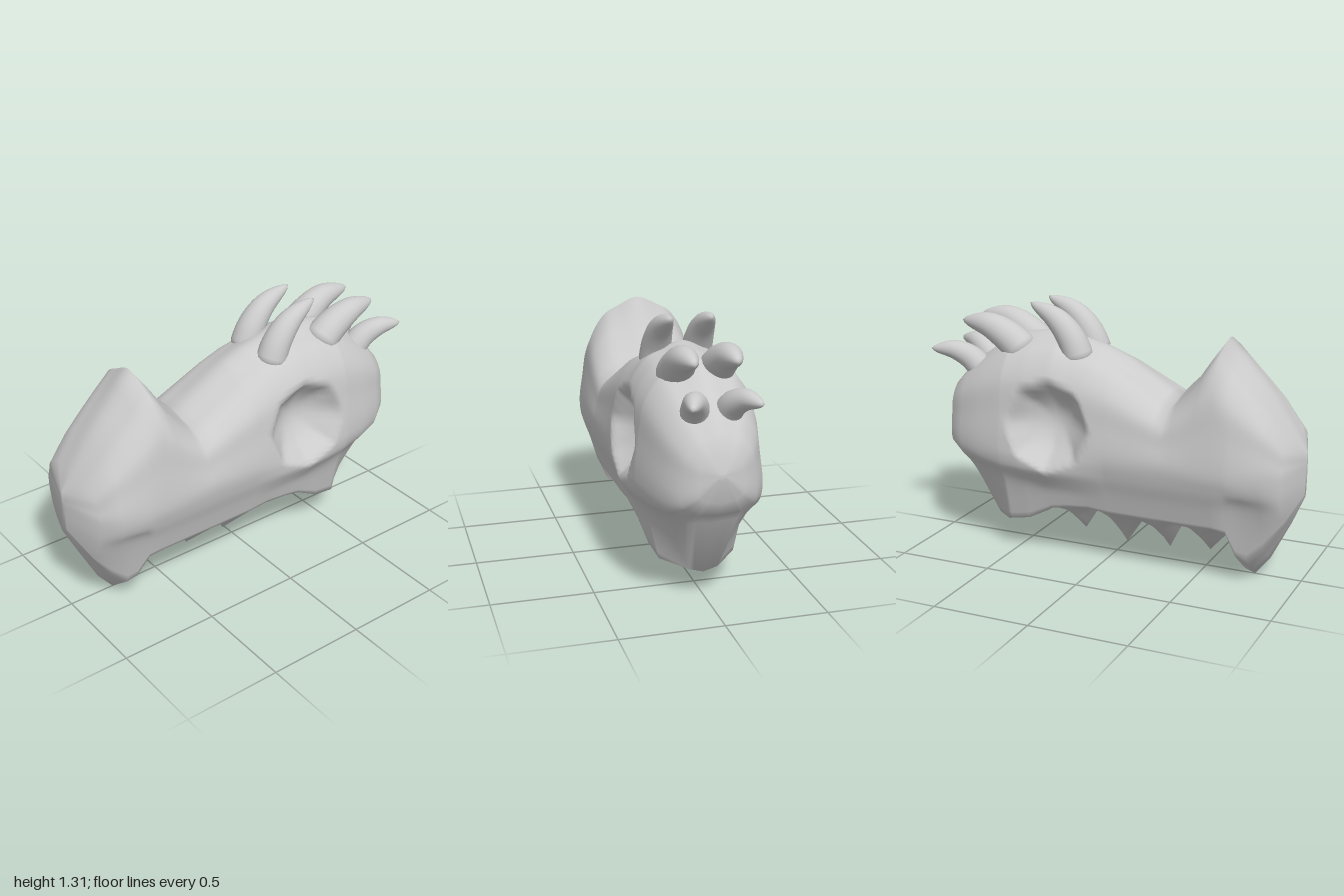
import * as THREE from 'three';
import { mergeVertices } from 'three/addons/utils/BufferGeometryUtils.js';

const material = new THREE.MeshStandardMaterial({ color: 0xcccccc });

// Slices along x: [x, top, lower side edge, bottom centre, half width, lower edge / half width]
const SLICES = [
  [-1, 0.68, 0.46, 0.44, 0.02, 0.7], [-0.94, 0.78, 0.34, 0.3, 0.24, 0.6],
  [-0.84, 0.93, 0.2, 0.1, 0.275, 0.5], [-0.76, 1.02, 0.12, 0, 0.295, 0.5],
  [-0.705, 1.08, 0.14, 0.02, 0.305, 0.52], [-0.67, 1.12, 0.28, 0.25, 0.308, 0.72],
  [-0.6, 1.2, 0.29, 0.18, 0.308, 0.74], [-0.52, 1.09, 0.29, 0.09, 0.308, 0.74],
  [-0.46, 1.0, 0.29, 0.17, 0.308, 0.74], [-0.4, 0.94, 0.29, 0.26, 0.308, 0.74],
  [-0.35, 0.88, 0.29, 0.17, 0.308, 0.74], [-0.3, 0.91, 0.29, 0.07, 0.308, 0.74],
  [-0.19, 0.975, 0.29, 0.27, 0.308, 0.74], [-0.06, 1.05, 0.29, 0.06, 0.306, 0.74],
  [0.06, 1.1, 0.3, 0.29, 0.306, 0.74], [0.18, 1.13, 0.29, 0.1, 0.306, 0.74],
  [0.27, 1.16, 0.27, 0.25, 0.308, 0.72], [0.41, 1.15, 0.19, 0.16, 0.31, 0.66],
  [0.54, 1.13, 0.16, 0.14, 0.302, 0.62], [0.66, 1.06, 0.14, 0.12, 0.28, 0.25],
  [0.79, 0.97, 0.43, 0.42, 0.24, 0.5], [0.88, 0.88, 0.5, 0.49, 0.18, 0.55],
  [0.915, 0.79, 0.57, 0.56, 0.11, 0.6], [0.935, 0.71, 0.68, 0.67, 0.02, 0.7],
];

// Half outline above the widest line: [fraction of half width, fraction of drop]
const OUTLINE = [[0.34, 0.07], [0.62, 0.16], [0.86, 0.38], [0.94, 0.68]];

// One closed ring: rounded roof, tapering lower side, V-shaped underside
function ring([x, top, edge, bottom, w, tuck]) {
  const widest = Math.max(0.6, edge + 0.25 * (top - edge));
  const half = OUTLINE.map(([fz, fy]) => new THREE.Vector2(fz * w, top - fy * (top - widest)));
  half.push(
    new THREE.Vector2(w, widest),
    new THREE.Vector2(0.95 * w, Math.max(0.5, edge + 0.5 * (widest - edge))),
    new THREE.Vector2((0.62 + 0.3 * tuck) * w, Math.max(0.4, edge + 0.25 * (widest - edge))),
    new THREE.Vector2(tuck * w, edge),
  );
  const arch = new THREE.SplineCurve([
    ...half.slice().reverse(), new THREE.Vector2(0, top),
    ...half.map((p) => new THREE.Vector2(-p.x, p.y)),
  ]).getPoints(80);
  const keel = new THREE.Vector2(0, bottom);
  const first = arch[0], last = arch[80];
  for (let k = 1; k <= 3; k++) arch.push(last.clone().lerp(keel, k / 3));
  for (let k = 1; k < 3; k++) arch.push(keel.clone().lerp(first, k / 3));
  return arch.map((p) => [x, p.y, p.x]);
}

// Eye sockets: eight-sided bowls pressed into the sides, above a slightly flared cheekbone
function pressSocket([x, y, z]) {
  if (Math.abs(z) < 0.18) return [x, y, z];
  const u = (x - 0.263) / 0.235, v = (y - 0.72) / 0.23;
  let d = 0;
  for (let k = 0; k < 8; k++) {
    const a = ((k + 0.5) * Math.PI) / 4;
    d = Math.max(d, (u * Math.cos(a) + v * Math.sin(a)) / Math.cos(Math.PI / 8));
  }
  const bowl = 0.14 * Math.max(0, 1 - d ** 2);
  const flare = 0.03 * Math.max(0, 1 - Math.abs(x - 0.28) / 0.34) * Math.max(0, 1 - Math.abs(y - 0.49) / 0.11);
  return [x, y, z + Math.sign(z) * (flare - bowl)];
}

function skullGeometry() {
  const rings = [];
  SLICES.forEach((slice, i) => {
    if (i === 0) return rings.push(ring(slice));
    // Extra slices only around the sockets
    const prev = SLICES[i - 1];
    const nearSocket = prev[0] > -0.1 && prev[0] < 0.5;
    const steps = nearSocket ? Math.round((slice[0] - prev[0]) / 0.02) : 1;
    for (let s = 1; s <= steps; s++) {
      rings.push(ring(slice.map((v, k) => prev[k] + ((v - prev[k]) * s) / steps)));
    }
  });
  const n = rings[0].length, last = rings.length - 1;
  const positions = rings.flat().map(pressSocket).flat();
  const index = [];
  for (let i = 0; i < last; i++) {
    for (let j = 0; j < n; j++) {
      const a = i * n + j, b = i * n + ((j + 1) % n);
      index.push(a, a + n, b, b, a + n, b + n);
    }
  }
  // End caps
  const front = positions.length / 3, back = front + 1;
  positions.push(-1, 0.57, 0, 0.935, 0.69, 0);
  for (let j = 0; j < n; j++) {
    const k = (j + 1) % n;
    index.push(front, j, k, back, last * n + k, last * n + j);
  }
  const g = new THREE.BufferGeometry();
  g.setAttribute('position', new THREE.Float32BufferAttribute(positions, 3));
  g.setIndex(index);
  g.computeVertexNormals();
  return g;
}

// Curved horn: a tube with a rounded base that tapers to a blunt tip
function hornGeometry(points, radius) {
  const curve = new THREE.CatmullRomCurve3(points.map((p) => new THREE.Vector3(...p)));
  const segs = 28, sides = 18;
  const tube = new THREE.TubeGeometry(curve, segs, radius, sides, false);
  const pos = tube.attributes.position, v = new THREE.Vector3();
  for (let i = 0; i <= segs; i++) {
    const t = i / segs, c = curve.getPointAt(t);
    const base = Math.sqrt(Math.min(1, t / 0.15 + 0.3));
    const r = base * Math.pow(1 - t ** 2, 0.65);
    for (let j = 0; j <= sides; j++) {
      const k = i * (sides + 1) + j;
      v.fromBufferAttribute(pos, k).sub(c).multiplyScalar(r).add(c);
      pos.setXYZ(k, v.x, v.y, v.z);
    }
  }
  tube.deleteAttribute('uv');
  tube.deleteAttribute('normal');
  const g = mergeVertices(tube, 1e-5);
  g.computeVertexNormals();
  return g;
}

const HORNS = [
  ['upperHorn', [[0.15, 1.01, 0.105], [0.205, 1.14, 0.105], [0.29, 1.235, 0.105], [0.435, 1.305, 0.1]], 0.078],
  ['middleHorn', [[0.46, 1.03, 0.1], [0.555, 1.11, 0.1], [0.67, 1.17, 0.105], [0.835, 1.185, 0.1]], 0.088],
  ['rearHorn', [[0.73, 0.91, 0.075], [0.8, 0.985, 0.09], [0.88, 1.025, 0.12], [0.995, 1.03, 0.16]], 0.068],
];

export function createModel() {
  const model = new THREE.Group();
  model.name = 'hornedSkull';

  const skull = new THREE.Mesh(skullGeometry(), material);
  skull.name = 'skull';
  model.add(skull);

  // Three pairs of horns along the crown
  for (const [name, points, radius] of HORNS) {
    for (const side of [1, -1]) {
      const path = points.map(([x, y, z]) => [x, y, z * side]);
      const horn = new THREE.Mesh(hornGeometry(path, radius), material);
      horn.name = name + (side > 0 ? 'Front' : 'Back');
      model.add(horn);
    }
  }
  return model;
}
